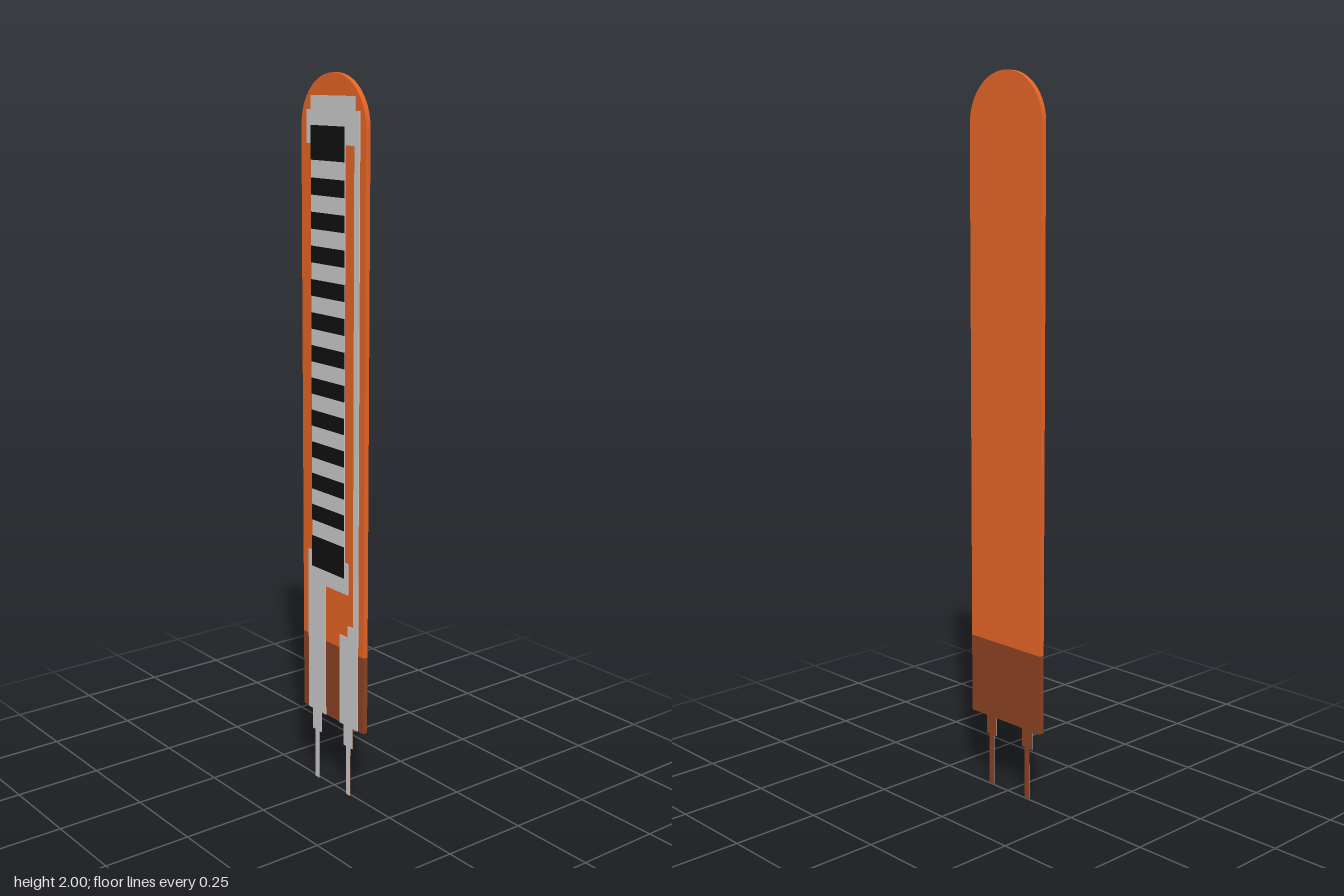
import * as THREE from 'three';

const W = 0.137, BASE = 0.21, STIFF = 0.435;   // half width, strip bottom, stiffener top
const BACK = -0.01, FACE = 0.0045, METAL = 0.0072, INK = 0.0079;

const orange = new THREE.MeshStandardMaterial({ color: 0xe66425 });
const brown = new THREE.MeshStandardMaterial({ color: 0x8c4222 });
const silver = new THREE.MeshStandardMaterial({ color: 0xcccccc });
const black = new THREE.MeshStandardMaterial({ color: 0x101010 });

export function createModel() {
  const model = new THREE.Group();

  // Flat plate of a given outline between two depths
  function plate(name, shape, z0, z1, material, parent = model) {
    const geo = new THREE.ExtrudeGeometry(shape, { depth: z1 - z0, bevelEnabled: false, curveSegments: 48 });
    geo.translate(0, 0, z0);
    const mesh = new THREE.Mesh(geo, material);
    mesh.name = name;
    parent.add(mesh);
  }
  const outline = (points) => new THREE.Shape(points.map(([x, y]) => new THREE.Vector2(x, y)));
  const rect = (x0, x1, y0, y1) => outline([[x0, y0], [x1, y0], [x1, y1], [x0, y1]]);

  // Flexible strip with a round top end
  const strip = new THREE.Shape();
  strip.moveTo(-W, STIFF);
  strip.lineTo(W, STIFF);
  strip.lineTo(W, 2 - W);
  strip.absarc(0, 2 - W, W, 0, Math.PI, false);
  strip.closePath();
  plate('flexibleStrip', strip, BACK, FACE, orange);

  // Stiffened connector end
  plate('stiffener', rect(-W, W, BASE, STIFF), BACK, FACE, brown);

  // Trace from the right-hand pin to the lower end of the sensing area
  plate('lowerTrace', outline([
    [-0.111, BASE], [-0.032, BASE], [-0.032, 0.6], [0.069, 0.6], [0.069, 0.69],
    [0.053, 0.69], [0.053, 0.72], [-0.092, 0.72], [-0.092, 0.69], [-0.111, 0.69],
  ]), FACE, METAL, silver);

  // Trace from the left-hand pin, up the edge and around the top
  plate('upperTrace', outline([
    [0.034, BASE], [0.114, BASE], [0.114, 1.905], [0.093, 1.905], [0.093, 1.942],
    [-0.092, 1.942], [-0.092, 1.905], [-0.111, 1.905], [-0.111, 1.818], [-0.092, 1.818],
    [-0.092, 1.79], [0.053, 1.79], [0.053, 1.818], [0.093, 1.818], [0.093, 0.51],
    [0.07, 0.51], [0.07, 0.475], [0.034, 0.475],
  ]), FACE, METAL, silver);

  // Sensing column between the two traces
  plate('sensingColumn', rect(-0.092, 0.053, 0.72, 1.79), FACE, METAL, silver);

  // Carbon ink: a pad at each end and bars between
  const ink = new THREE.Group();
  ink.name = 'carbonInk';
  model.add(ink);
  const bar = (name, y0, y1) => plate(name, rect(-0.092, 0.053, y0, y1), METAL, INK, black, ink);
  bar('lowerPad', 0.645, 0.735);
  bar('upperPad', 1.775, 1.865);
  for (let i = 0; i < 11; i++) {
    const y = 0.804 + i * 0.0902;
    bar('inkBar', y - 0.0225, y + 0.0225);
  }

  // Stepped pins: metal front, brown backing
  for (const side of [-1, 1]) {
    const pin = new THREE.Group();
    pin.name = side > 0 ? 'leftPin' : 'rightPin';
    const x = side * 0.072;
    const shape = outline([
      [x - 0.009, 0], [x + 0.009, 0], [x + 0.009, 0.148], [x + 0.02, 0.148],
      [x + 0.02, BASE], [x - 0.02, BASE], [x - 0.02, 0.148], [x - 0.009, 0.148],
    ]);
    plate('pinFront', shape, 0.0055, METAL, silver, pin);
    plate('pinBacking', shape, FACE, 0.0055, brown, pin);
    model.add(pin);
  }

  return model;
}
